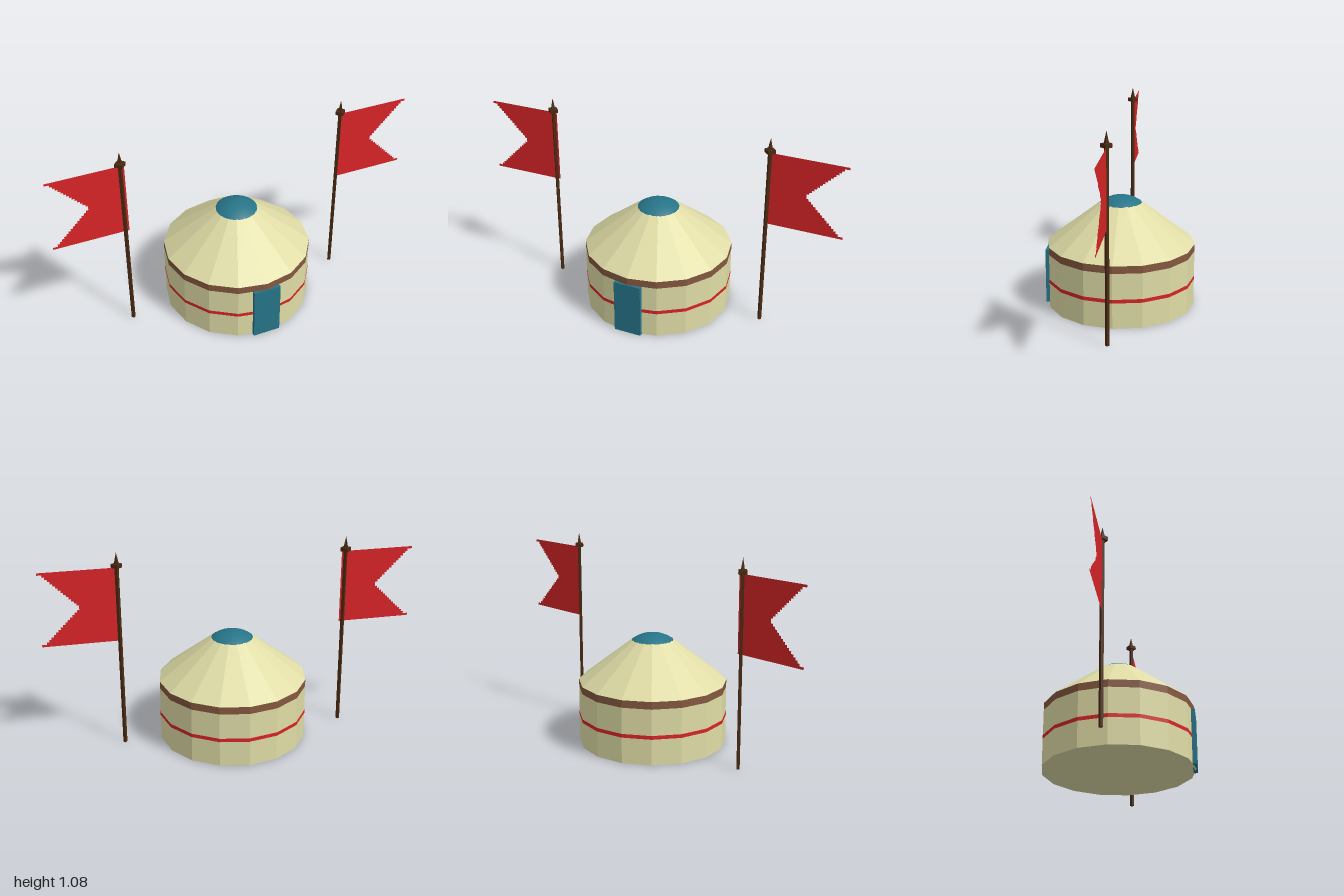
import * as THREE from 'three';

const mat = (name, color, extra = {}) =>
  Object.assign(new THREE.MeshStandardMaterial({ color, ...extra }), { name });

export function createModel() {
  const cream = mat('cream felt', 0xdfdca6, { flatShading: true });
  const brown = mat('brown band', 0x84583f, { flatShading: true });
  const red = mat('red cloth', 0xd82427, { side: THREE.DoubleSide, flatShading: true });
  const teal = mat('teal', 0x267488);
  const wood = mat('dark wood', 0x4a2a12, { flatShading: true });

  const model = new THREE.Group();
  model.name = 'tentWithFlags';
  const add = (parent, name, geometry, material, x = 0, y = 0, z = 0) => {
    const mesh = new THREE.Mesh(geometry, material);
    mesh.name = name;
    mesh.position.set(x, y, z);
    parent.add(mesh);
    return mesh;
  };

  // Sixteen-sided tent
  const SIDES = 16, R = 0.4;
  const tent = new THREE.Group();
  tent.name = 'tent';
  model.add(tent);
  add(tent, 'wall', new THREE.CylinderGeometry(R, R, 0.3, SIDES), cream, 0, 0.15);
  add(tent, 'eaveBand', new THREE.CylinderGeometry(R, R, 0.04, SIDES, 1, true), brown, 0, 0.32);
  add(tent, 'wallStripe', new THREE.CylinderGeometry(R + 0.0015, R + 0.0015, 0.02, SIDES, 1, true), red, 0, 0.15);
  add(tent, 'roof', new THREE.CylinderGeometry(0.11, R, 0.225, SIDES, 1, true), cream, 0, 0.4525);
  add(tent, 'door', new THREE.BoxGeometry(0.15, 0.3, 0.022), teal, 0, 0.15, 0.394);

  // Shallow spherical cap over the smoke hole
  const capR = 0.19, capAngle = Math.asin(0.112 / capR);
  add(tent, 'roofCap', new THREE.SphereGeometry(capR, 24, 4, 0, Math.PI * 2, 0, capAngle), teal, 0, 0.6 - capR);

  // Swallow-tailed flag with a stepped notch
  const flagShape = new THREE.Shape();
  const STEP = 0.0125, ROWS = 16;
  flagShape.moveTo(0, 0);
  for (let i = 0; i < ROWS * 2; i++) {
    const row = Math.min(i, ROWS * 2 - 1 - i);
    const width = row === 0 ? 0.4 : 0.4 - STEP * (row + 1);
    flagShape.lineTo(width, i * STEP);
    flagShape.lineTo(width, (i + 1) * STEP);
  }
  flagShape.lineTo(0, 0.4);
  const flagGeometry = new THREE.ShapeGeometry(flagShape);

  // Two square poles with a cross plate and a spike
  for (const [side, poleX] of [[1, 0.6], [-1, -0.62]]) {
    const post = new THREE.Group();
    post.name = side > 0 ? 'leftFlagpole' : 'rightFlagpole';
    model.add(post);
    add(post, 'pole', new THREE.CylinderGeometry(0.011, 0.011, 1, 4), wood, poleX, 0.5);
    add(post, 'finialPlate', new THREE.CylinderGeometry(0.029, 0.029, 0.02, 4), wood, poleX, 1.01);
    add(post, 'finialSpike', new THREE.ConeGeometry(0.013, 0.06, 4), wood, poleX, 1.05);
    const flag = add(post, 'flag', flagGeometry, red, side * 0.6, 0.6);
    if (side < 0) flag.rotation.y = Math.PI;
  }
  return model;
}
